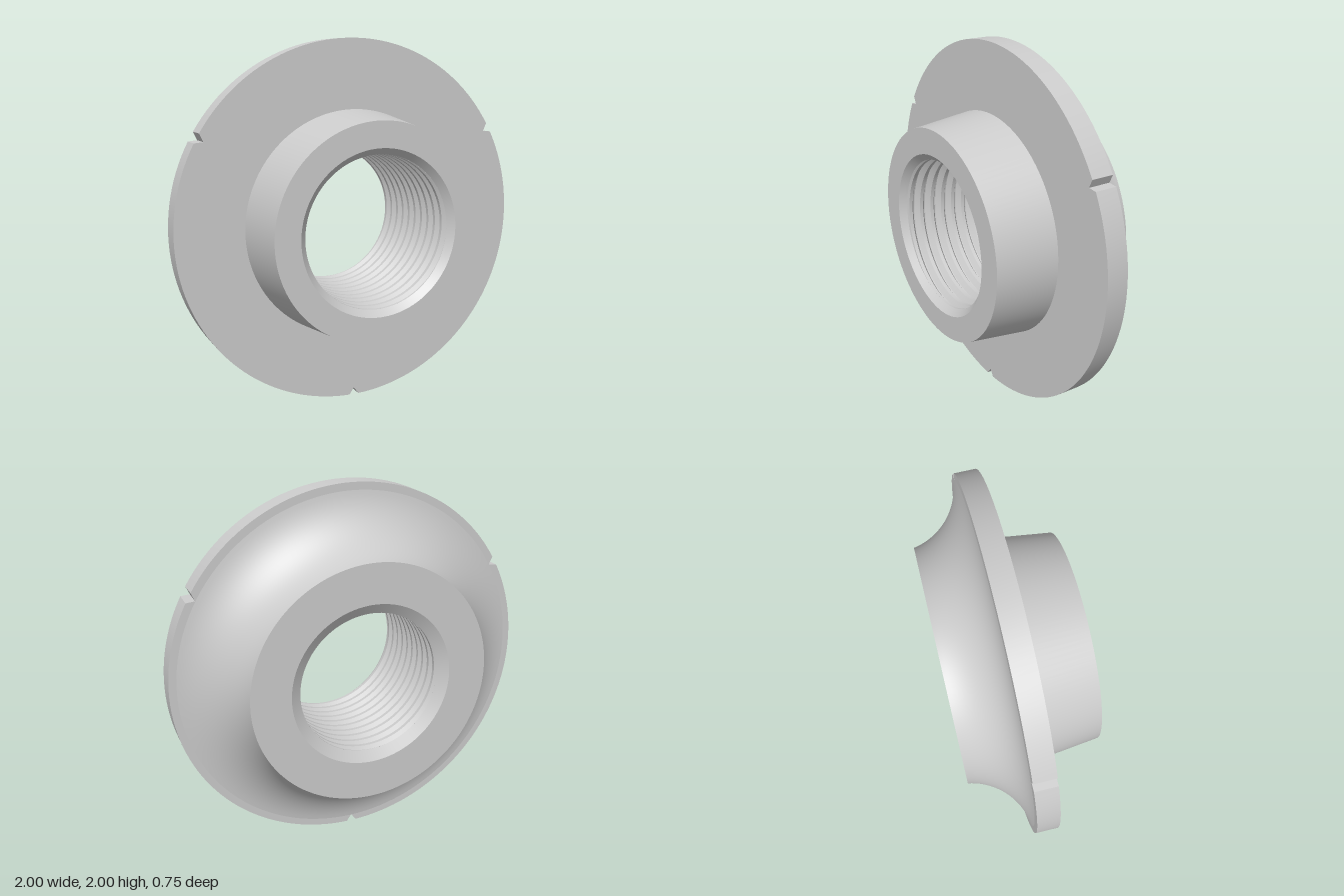
import * as THREE from 'three';
import { toCreasedNormals } from 'three/addons/utils/BufferGeometryUtils.js';

const FRONT = 0.375, BACK = -0.37;        // end faces
const RIM_FRONT = 0.04, RIM_BACK = -0.08; // flange faces
const BORE_FRONT = 0.34, BORE_BACK = -0.335; // threaded length
const SEGMENTS = 128;

const material = new THREE.MeshStandardMaterial({ color: 0xcccccc });
const threadMaterial = new THREE.MeshStandardMaterial({ color: 0xcccccc, side: THREE.DoubleSide });

// The bore narrows slightly towards the back
const boreRadius = (z) =>
  THREE.MathUtils.mapLinear(z, BORE_BACK, BORE_FRONT, 0.388, 0.41);

// Revolve [radius, z] pairs about the z axis, keeping corners sharp
function revolve(name, profile) {
  const points = profile.map(([r, z]) => new THREE.Vector2(r, z));
  const geometry = new THREE.LatheGeometry(points, SEGMENTS).rotateX(Math.PI / 2);
  const mesh = new THREE.Mesh(toCreasedNormals(geometry, 0.45), material);
  mesh.name = name;
  return mesh;
}

// Flat disc with three V notches in its edge
function makeFlange() {
  const points = [];
  const halfNotch = 0.028, arcSteps = 48;
  for (let k = 0; k < 3; k++) {
    const a = Math.PI / 6 + (k * Math.PI * 2) / 3;
    points.push(new THREE.Vector2(Math.cos(a) * 0.96, Math.sin(a) * 0.96));
    for (let i = 0; i <= arcSteps; i++) {
      const t = a + halfNotch + (i / arcSteps) * ((Math.PI * 2) / 3 - 2 * halfNotch);
      points.push(new THREE.Vector2(Math.cos(t), Math.sin(t)));
    }
  }
  const shape = new THREE.Shape(points);
  shape.holes.push(new THREE.Path().absarc(0, 0, 0.5, 0, Math.PI * 2, true));
  const geometry = new THREE.ExtrudeGeometry(shape, {
    depth: RIM_FRONT - RIM_BACK, bevelEnabled: false, curveSegments: 48,
  }).translate(0, 0, RIM_BACK);
  const mesh = new THREE.Mesh(toCreasedNormals(geometry, 0.45), material);
  mesh.name = 'notchedFlange';
  return mesh;
}

// Concave flare sweeping from the flange up to the back face
function makeFlare() {
  const profile = [[boreRadius(BORE_BACK), BORE_BACK], [0.445, BACK]];
  const steps = 20, cx = 1.005, cz = -0.43, radius = 0.35;
  for (let i = 0; i <= steps; i++) {
    const a = THREE.MathUtils.degToRad(170.1 - (i / steps) * 72.7);
    profile.push([cx + radius * Math.cos(a), cz + radius * Math.sin(a)]);
  }
  profile.push([0.995, RIM_BACK + 0.001]);
  // Stop short of the notch tips
  return revolve('rearFlare', profile.filter(([r]) => r < 0.97));
}

// Helical strip with crest and root flats, cut off square at both ends
function makeThread() {
  const pitch = 0.0676, depth = 0.03, perTurn = 96;
  const turns = Math.ceil((BORE_FRONT - BORE_BACK) / pitch) + 1;
  const section = [[0, 0], [0.3, 0], [0.6, 1], [0.7, 1], [1, 0]];
  const n = section.length, positions = [], indices = [];
  for (let i = 0; i <= turns * perTurn; i++) {
    const a = (i / perTurn) * Math.PI * 2;
    section.forEach(([v, d], j) => {
      const raw = BORE_BACK + pitch * (i / perTurn - 1 + v);
      const z = THREE.MathUtils.clamp(raw, BORE_BACK, BORE_FRONT);
      const r = boreRadius(z) + d * depth;
      positions.push(Math.cos(a) * r, Math.sin(a) * r, z);
      if (i > 0 && j > 0) {
        const q = i * n + j, p = q - n;
        indices.push(p - 1, p, q - 1, p, q, q - 1);
      }
    });
  }
  const geometry = new THREE.BufferGeometry();
  geometry.setAttribute('position', new THREE.Float32BufferAttribute(positions, 3));
  geometry.setIndex(indices);
  const mesh = new THREE.Mesh(toCreasedNormals(geometry, 0.45), threadMaterial);
  mesh.name = 'internalThread';
  return mesh;
}

export function createModel() {
  const fitting = new THREE.Group();
  fitting.name = 'threadedWeldFlange';

  // Tapered front hub with a chamfered mouth
  const hub = revolve('frontHub', [
    [0.625, RIM_FRONT], [0.585, FRONT], [0.445, FRONT], [boreRadius(BORE_FRONT), BORE_FRONT],
  ]);

  fitting.add(makeFlange(), hub, makeFlare(), makeThread());
  fitting.position.y = 1;

  const model = new THREE.Group();
  model.add(fitting);
  return model;
}
